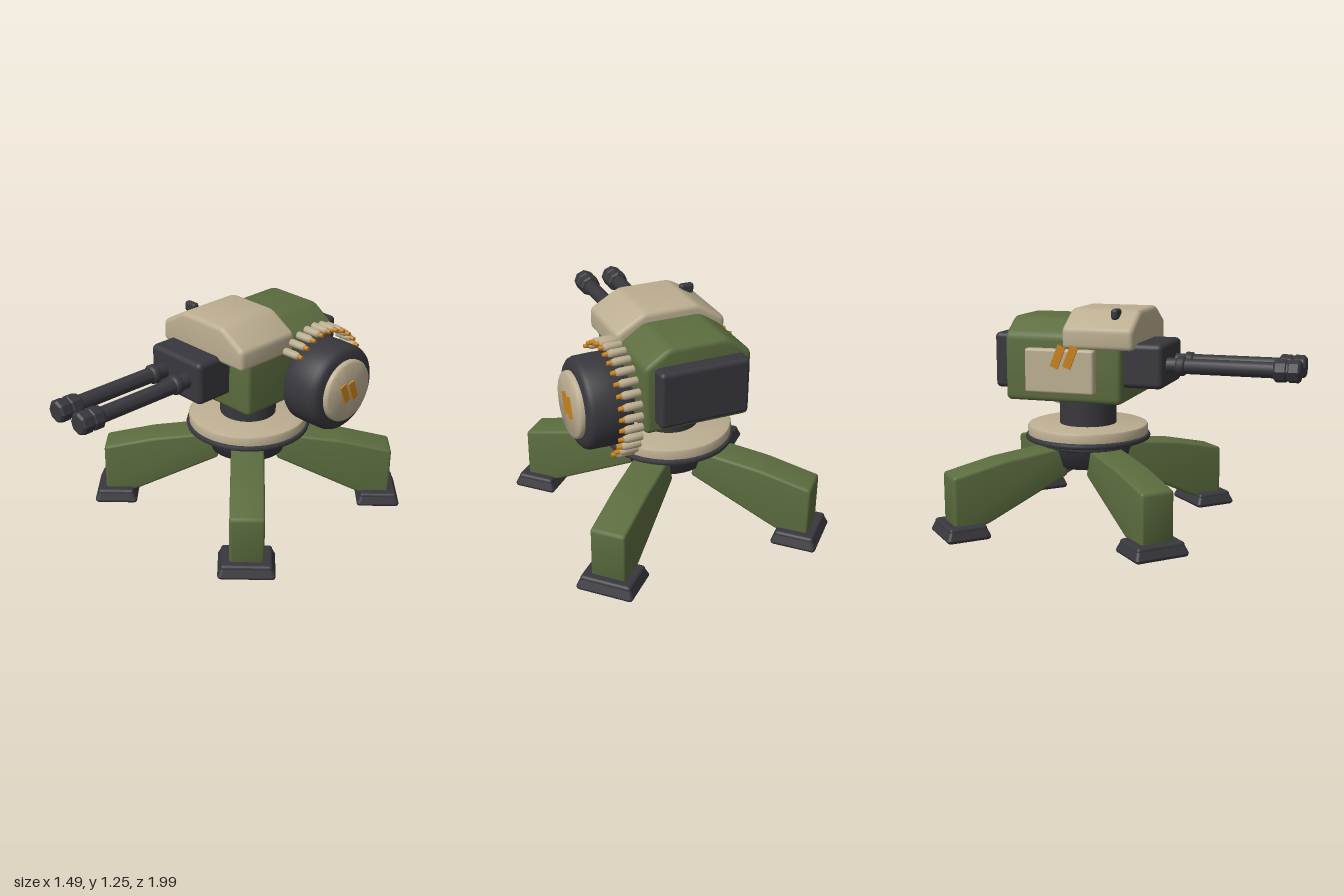
import * as THREE from 'three';
import { toCreasedNormals } from 'three/addons/utils/BufferGeometryUtils.js';
import { RoundedBoxGeometry } from 'three/addons/geometries/RoundedBoxGeometry.js';

const V = (x, y) => new THREE.Vector2(x, y);
const BASE_Z = -0.243;

// closed shape with softened corners
function roundedShape(points, r) {
  const s = new THREE.Shape();
  const p = points.map(([x, y]) => V(x, y));
  p.forEach((c, i) => {
    const prev = p[(i + p.length - 1) % p.length], next = p[(i + 1) % p.length];
    const a = c.clone().add(prev.clone().sub(c).setLength(r));
    const b = c.clone().add(next.clone().sub(c).setLength(r));
    if (i === 0) s.moveTo(a.x, a.y); else s.lineTo(a.x, a.y);
    s.quadraticCurveTo(c.x, c.y, b.x, b.y);
  });
  s.closePath();
  return s;
}

// bevelled slab of a profile, centred on its depth
function slab(points, depth, bevel, r) {
  const g = new THREE.ExtrudeGeometry(roundedShape(points, r), {
    depth: depth - 2 * bevel, bevelEnabled: true, bevelThickness: bevel,
    bevelSize: bevel, bevelOffset: -bevel, bevelSegments: 3, curveSegments: 4,
  });
  g.translate(0, 0, bevel - depth / 2);
  return toCreasedNormals(g, 0.6);
}

const lathe = (pts, n = 40) =>
  toCreasedNormals(new THREE.LatheGeometry(pts.map(([x, y]) => V(x, y)), n), 0.7);

export function createModel() {
  const root = new THREE.Group();
  root.name = 'sentryTurret';
  const mat = (name, color) => {
    const m = new THREE.MeshStandardMaterial({ color });
    m.name = name;
    return m;
  };
  const green = mat('olive green', 0x5c6d3f);
  const cream = mat('cream', 0xbcae91);
  const dark = mat('charcoal', 0x38373d);
  const orange = mat('orange', 0xc9831c);

  const add = (name, geo, material, x = 0, y = 0, z = 0, parent = root) => {
    const m = new THREE.Mesh(geo, material);
    m.name = name;
    m.position.set(x, y, z);
    parent.add(m);
    return m;
  };
  const box = (name, material, [x0, x1], [y0, y1], [z0, z1], r) =>
    add(name, new RoundedBoxGeometry(x1 - x0, y1 - y0, z1 - z0, 3, r), material,
      (x0 + x1) / 2, (y0 + y1) / 2, (z0 + z1) / 2);

  // four diagonal legs with tapered feet
  const legGeo = slab([
    [0.845, 0.06], [0.845, 0.35], [0.56, 0.412], [0.2, 0.455], [0.17, 0.295], [0.64, 0.075], [0.68, 0.06],
  ], 0.19, 0.015, 0.018);
  const footGeo = new RoundedBoxGeometry(0.25, 0.08, 0.315, 3, 0.02);
  const fp = footGeo.attributes.position;
  for (let i = 0; i < fp.count; i++) {
    if (fp.getY(i) > 0) {
      fp.setX(i, fp.getX(i) * 0.86);
      fp.setZ(i, fp.getZ(i) * 0.9);
    }
  }
  footGeo.computeVertexNormals();
  for (let i = 0; i < 4; i++) {
    const leg = new THREE.Group();
    leg.name = 'legAssembly';
    leg.position.z = BASE_Z;
    leg.rotation.y = Math.PI / 4 + i * Math.PI / 2;
    root.add(leg);
    add('leg', legGeo, green, 0, 0, 0, leg);
    add('foot', footGeo, dark, 0.782, 0.04, 0, leg);
  }

  // hub, turntable and neck
  add('hub', lathe([[0, 0.33], [0.2, 0.33], [0.222, 0.345], [0.25, 0.44], [0.28, 0.452], [0.28, 0.5]]),
    dark, 0, 0, BASE_Z);
  add('bearingRing', lathe([[0, 0.48], [0.345, 0.48], [0.357, 0.485], [0.361, 0.496], [0.357, 0.507], [0.345, 0.512], [0, 0.512]]),
    dark, 0, 0, BASE_Z);
  add('turntable', lathe([[0.2, 0.51], [0.345, 0.51], [0.347, 0.555], [0.342, 0.565], [0.33, 0.57], [0, 0.57]]),
    cream, 0, 0, BASE_Z);
  add('neck', new THREE.CylinderGeometry(0.163, 0.163, 0.2, 40), dark, 0, 0.65, BASE_Z);

  // body and front cover share a chamfered section
  const section = (w, top, flat, shoulder, bottom) =>
    [[-w, bottom], [w, bottom], [w, shoulder], [flat, top], [-flat, top], [-w, shoulder]];
  add('body', slab(section(0.295, 1.19, 0.16, 1.1, 0.73), 0.675, 0.025, 0.03), green, 0, 0, -0.285);
  add('frontCover', slab(section(0.312, 1.24, 0.15, 1.145, 1.03), 0.405, 0.025, 0.025), cream, 0, 0, -0.078);
  box('coverSight', dark, [-0.25, -0.17], [1.19, 1.248], [-0.02, 0.02], 0.015);
  box('rearPack', dark, [-0.25, 0.245], [0.79, 1.1], [-0.705, -0.58], 0.025);
  box('gunHousing', dark, [-0.25, 0.145], [0.82, 1.065], [0, 0.273], 0.03);
  box('sidePlate', cream, [-0.34, -0.28], [0.785, 1.03], [-0.49, -0.09], 0.015);

  // twin barrels with collars and eight-sided muzzles
  const barrelGeo = lathe([
    [0.043, 0.2], [0.043, 0.325], [0.05, 0.33], [0.054, 0.335], [0.054, 0.362], [0.05, 0.37], [0.043, 0.375], [0.043, 0.87],
  ], 20).rotateX(Math.PI / 2);
  const muzzleGeo = new THREE.LatheGeometry([
    [0, 0.857], [0.052, 0.857], [0.063, 0.868], [0.063, 0.92], [0.057, 0.926], [0.057, 0.934],
    [0.063, 0.94], [0.063, 0.988], [0.052, 1], [0, 1],
  ].map(([x, y]) => V(x, y)), 8).rotateX(Math.PI / 2);
  const muzzleFlat = toCreasedNormals(muzzleGeo, 0.5);
  for (const x of [-0.145, 0.038]) {
    add('barrel', barrelGeo, dark, x, 0.942, 0);
    add('muzzle', muzzleFlat, dark, x, 0.942, 0);
  }

  // ammunition drum, its axis along x
  const DY = 0.86, DZ = -0.39;
  const alongX = g => g.rotateZ(-Math.PI / 2);
  add('drum', alongX(lathe([
    [0, 0.35], [0.215, 0.35], [0.235, 0.357], [0.245, 0.375], [0.247, 0.45],
    [0.245, 0.555], [0.237, 0.575], [0.222, 0.588], [0.2, 0.595], [0, 0.595],
  ], 48)), dark, 0, DY, DZ);
  add('drumCap', alongX(lathe([[0.178, 0.59], [0.178, 0.612], [0.173, 0.62], [0.165, 0.625], [0, 0.625]], 48)),
    cream, 0, DY, DZ);
  add('drumAxle', alongX(new THREE.CylinderGeometry(0.09, 0.09, 0.12, 24)), dark, 0.32, DY, DZ);

  // slanted paired stripes on the drum cap and side plate
  const stripes = (name, x, y, z, k) => {
    for (const s of [-1, 1]) {
      const bar = add(name, new THREE.BoxGeometry(0.009, 0.115 * k, 0.042 * k), orange, x, y, z + s * 0.033 * k);
      bar.rotation.x = 0.38;
    }
  };
  stripes('drumStripe', 0.629, DY, -0.388, 1);
  stripes('plateStripe', -0.344, 0.99, -0.255, 1.1);

  // belt of cartridges wrapped round the drum
  const caseGeo = alongX(lathe([[0, -0.05], [0.019, -0.05], [0.022, -0.046], [0.022, 0.03], [0.016, 0.05], [0, 0.05]], 10));
  const tipGeo = alongX(new THREE.CylinderGeometry(0.011, 0.015, 0.03, 8));
  for (let i = 0; i < 17; i++) {
    const a = THREE.MathUtils.degToRad(45.5 + i * 11.8);
    const y = DY + 0.295 * Math.sin(a), z = DZ + 0.295 * Math.cos(a);
    add('cartridgeCase', caseGeo, cream, 0.385, y, z);
    add('cartridgeTip', tipGeo, orange, 0.445, y, z);
  }
  return root;
}
